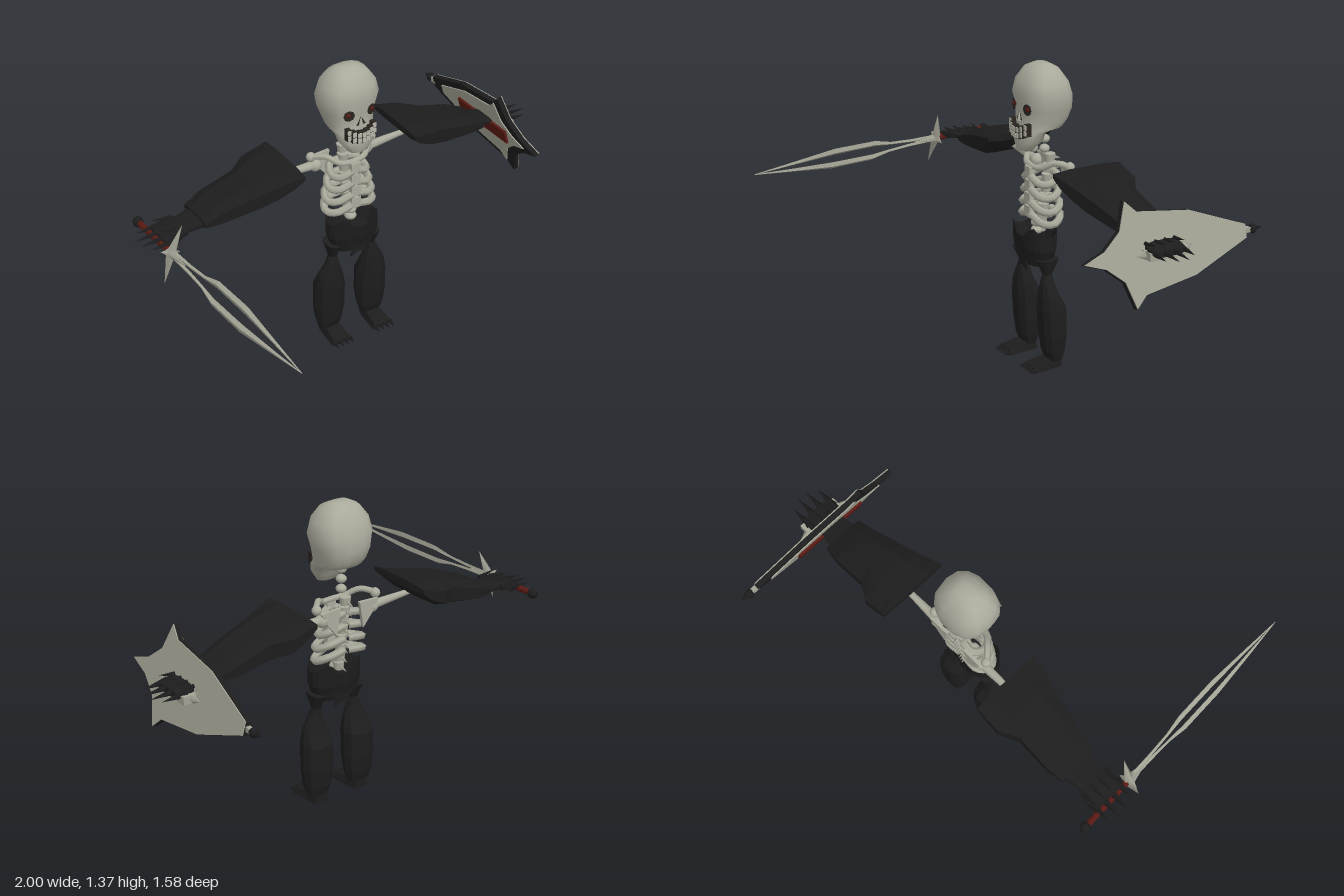
import * as THREE from 'three';

const mat = (name, color) => Object.assign(new THREE.MeshStandardMaterial({ color }), { name });
const V = (x, y, z) => new THREE.Vector3(x, y, z);

// Superellipse ring of n points; p < 1 squares the corners
function ring(n, p, place) {
  const pts = [];
  const sq = v => Math.sign(v) * Math.pow(Math.abs(v), p);
  for (let i = 0; i < n; i++) {
    const a = ((i + 0.5) / n) * Math.PI * 2;
    pts.push(place(sq(Math.sin(a)), sq(Math.cos(a))));
  }
  return pts;
}

// Closed skin over rings of equal count, always facing outwards
function loft(rings, smooth = false) {
  const n = rings[0].length, pts = rings.flat(), idx = [];
  for (let r = 0; r < rings.length - 1; r++)
    for (let i = 0; i < n; i++) {
      const a = r * n + i, b = r * n + (i + 1) % n;
      idx.push(a, b, a + n, b, b + n, a + n);
    }
  for (const r of [0, rings.length - 1]) {
    const c = pts.length;
    pts.push(rings[r].reduce((s, v) => s.add(v), V(0, 0, 0)).divideScalar(n));
    for (let i = 0; i < n; i++) {
      const a = r * n + i, b = r * n + (i + 1) % n;
      r === 0 ? idx.push(c, b, a) : idx.push(c, a, b);
    }
  }
  let volume = 0;
  for (let i = 0; i < idx.length; i += 3)
    volume += pts[idx[i]].dot(pts[idx[i + 1]].clone().cross(pts[idx[i + 2]]));
  if (volume < 0) idx.reverse();
  let g = new THREE.BufferGeometry().setFromPoints(pts);
  g.setIndex(idx);
  if (!smooth) g = g.toNonIndexed();
  g.computeVertexNormals();
  return g;
}

export function createModel() {
  const model = new THREE.Group();
  model.name = 'skeletonWarrior';
  const bone = mat('bone', 0xaaaa9c), steel = mat('steel', 0xa2a294), black = mat('blackCloth', 0x1d1d1d);
  const red = mat('redLeather', 0x5a1a14), dark = mat('darkSocket', 0x2a2420), tooth = mat('tooth', 0xb6b6a8);

  const add = (name, geo, m, pos = [0, 0, 0], parent = model) => {
    const o = new THREE.Mesh(geo, m);
    o.name = name;
    o.position.set(...pos);
    parent.add(o);
    return o;
  };
  const box = (...s) => new THREE.BoxGeometry(...s);
  const ball = (r, w = 10, h = 8) => new THREE.SphereGeometry(r, w, h);
  const tube = (pts, r, sides) => new THREE.TubeGeometry(new THREE.CatmullRomCurve3(pts), 12, r, sides, false);
  // Cone with its tip along the given direction
  const spike = (name, m, pos, dir, len, r, parent, sides = 4) => {
    const o = add(name, new THREE.ConeGeometry(r, len, sides).translate(0, len / 2, 0), m, pos, parent);
    o.quaternion.setFromUnitVectors(V(0, 1, 0), V(...dir).normalize());
    return o;
  };

  // Skull: y, half width, front z, back z
  const skull = [
    [1.37, 0.045, -0.19, -0.25], [1.35, 0.085, -0.15, -0.285], [1.3, 0.122, -0.117, -0.32],
    [1.24, 0.136, -0.105, -0.338], [1.18, 0.122, -0.118, -0.34], [1.13, 0.106, -0.113, -0.325],
    [1.1, 0.1, -0.11, -0.3], [1.09, 0.094, -0.11, -0.215], [1.05, 0.084, -0.102, -0.205], [1.0, 0.045, -0.105, -0.16]];
  add('skull', loft(skull.map(([y, rx, f, b]) =>
    ring(14, 0.8, (s, c) => V(rx * s, y, (f + b) / 2 + c * (f - b) / 2))), true), bone);
  for (const s of [-1, 1]) {
    const socket = add('eyeSocket', new THREE.CircleGeometry(0.026, 8), dark, [s * 0.056, 1.19, -0.114]);
    socket.rotation.y = s * 0.25;
    add('eye', ball(0.011, 8, 6), red, [s * 0.058, 1.192, -0.118]);
  }
  const nostril = add('noseHole', new THREE.CircleGeometry(0.028, 3), dark, [0, 1.148, -0.109]);
  nostril.rotation.z = Math.PI / 2;
  spike('noseBone', bone, [0, 1.13, -0.112], [0, 1, 0.1], 0.045, 0.015);
  // Grin of two tooth rows
  for (let i = -3; i <= 3; i++) {
    const x = i * 0.021, lift = 0.0022 * i * i, z = -0.094 - 0.0018 * i * i;
    add('gum', box(0.021, 0.054, 0.024), dark, [x, 1.082 + lift, z - 0.004]);
    for (const k of [-1, 1]) add('tooth', box(0.017, 0.021, 0.024), tooth, [x, 1.082 + lift + k * 0.013, z]);
  }

  // Neck and spine
  for (const y of [1.075, 1.03, 0.985]) add('neckVertebra', ball(0.024).scale(1, 0.8, 1), bone, [0, y, -0.235]);
  for (let i = 0; i < 8; i++) {
    const y = 0.94 - i * 0.045;
    add('vertebra', new THREE.CylinderGeometry(0.026, 0.022, 0.036, 8), bone, [0, y, -0.262 + i * 0.006]);
    spike('vertebraFin', bone, [0, y, -0.275 + i * 0.006], [0, -0.3, -1], 0.045, 0.013);
  }
  for (const y of [0.65, 0.615]) add('lowerVertebra', ball(0.028).scale(1, 0.7, 1), bone, [0, y, -0.2]);
  for (let i = 0; i < 4; i++) add('breastbone', box(0.046, 0.052, 0.024), bone, [0, 0.89 - i * 0.06, -0.16]);

  for (const s of [-1, 1]) {
    // Ribs from the spine round to the breastbone
    [[0.86, 0.085], [0.8, 0.1], [0.74, 0.115], [0.685, 0.12]].forEach(([y, w]) =>
      add('rib', tube([V(s * 0.01, y + 0.025, -0.265), V(s * w * 0.75, y + 0.015, -0.265), V(s * w, y - 0.01, -0.215),
        V(s * w * 0.75, y - 0.01, -0.175), V(s * 0.01, y + 0.015, -0.16)], 0.018, 5), bone));
    // Collar, shoulder and upper arm
    add('collarBone', tube([V(0, 0.915, -0.17), V(s * 0.06, 0.92, -0.18), V(s * 0.11, 0.95, -0.22),
      V(s * 0.16, 0.94, -0.27)], 0.014, 6), bone);
    add('collarKnob', ball(0.022), bone, [s * 0.155, 0.938, -0.27]);
    add('shoulderJoint', ball(0.03), bone, [s * 0.132, 0.887, -0.275]);
    add('shoulderBlade', loft([-0.285, -0.3].map(z =>
      [V(s * 0.05, 0.93, z), V(s * 0.15, 0.925, z), V(s * 0.12, 0.87, z), V(s * 0.07, 0.81, z)])), bone);
    const arm = add('upperArmBone', new THREE.CylinderGeometry(0.011, 0.022, 0.24, 8), bone, [s * 0.24, 0.893, -0.275]);
    arm.rotation.z = -s * 1.53;

    // Sleeve: x, top, bottom, front z, back z
    const crossX = ([x, t, b, f, k]) => ring(8, 0.7, (u, v) =>
      V(s * x, (t + b) / 2 + u * (t - b) / 2, (f + k) / 2 + v * (f - k) / 2));
    add('sleeve', loft([[0.28, 0.98, 0.945, -0.1, -0.45], [0.32, 0.978, 0.9, -0.11, -0.45], [0.4, 0.968, 0.85, -0.13, -0.45],
      [0.48, 0.95, 0.823, -0.15, -0.4], [0.64, 0.897, 0.802, -0.18, -0.4], [0.72, 0.85, 0.815, -0.19, -0.385]].map(crossX)), black);
    // Gauntlet with a row of claws
    add('gauntlet', loft([[0.7, 0.845, 0.808, -0.21, -0.37], [0.78, 0.832, 0.803, -0.225, -0.35],
      [0.84, 0.828, 0.79, -0.2, -0.37], [0.9, 0.815, 0.785, -0.21, -0.365]].map(crossX)), black);
    for (let i = 0; i < 4; i++) {
      const z = -0.215 - i * 0.046;
      spike('claw', black, [s * 0.86, 0.805, z], [s, -0.05, 0], i % 3 ? 0.14 : 0.11, 0.02);
      spike('sideClaw', black, [s * 0.8, 0.82, z], [s, 0.2, 0], 0.1, 0.014);
    }

    // Trouser leg: y, centre x, half width, front z, back z
    add('trouserLeg', loft([[0.51, 0.1, 0.035, -0.14, -0.25], [0.44, 0.1, 0.02, -0.175, -0.215],
      [0.4, 0.105, 0.032, -0.163, -0.22], [0.34, 0.11, 0.058, -0.155, -0.242], [0.28, 0.11, 0.07, -0.15, -0.275],
      [0.16, 0.111, 0.073, -0.16, -0.275], [0.08, 0.112, 0.064, -0.172, -0.266], [0.035, 0.112, 0.052, -0.19, -0.25]]
      .map(([y, x, rx, f, b]) => ring(10, 0.8, (u, v) => V(s * x + u * rx, y, (f + b) / 2 + v * (f - b) / 2)))), black);
    // Foot and toes
    add('foot', loft([[-0.25, 0.035, 0.045], [-0.17, 0.045, 0.04], [-0.105, 0.052, 0.022]].map(([z, w, h]) =>
      [V(s * 0.11 - w, 0, z), V(s * 0.11 + w, 0, z), V(s * 0.11 + w * 0.8, h, z), V(s * 0.11 - w * 0.8, h, z)])), black);
    for (let i = 0; i < 4; i++)
      spike('toe', black, [s * 0.11 + (i - 1.5) * 0.027, 0.011, -0.11], [0, -0.05, 1], 0.045, 0.014);
  }

  // Hip armour with a peaked, hollow rim
  const rim = x => 0.58 + 0.08 * Math.min(1, Math.abs(x) / 0.075) - Math.max(0, Math.abs(x) - 0.09) * 1.5;
  add('hipArmour', loft([[0.475, 0.1, 0.058], [0.55, 0.125, 0.075], [0, 0.122, 0.08], [0.55, 0.09, 0.055]].map(([y, rx, rz]) =>
    ring(20, 0.85, (u, v) => V(u * rx, y || rim(u * rx), -0.19 + v * rz)))), black);
  for (const z of [-0.132, -0.248])
    add('loincloth', loft([z - 0.004, z + 0.004].map(q => [V(-0.07, 0.52, q), V(0.07, 0.52, q), V(0.03, 0.485, q),
      V(0.045, 0.445, q), V(0, 0.465, q), V(-0.045, 0.445, q), V(-0.03, 0.485, q)])), black);

  // Shield: half outline as z, height above the centre line, leaning inwards at the top
  const half = [[-0.02, 0.035], [-0.1, 0.1], [-0.14, 0.212], [-0.19, 0.165], [-0.44, 0.13], [-0.71, 0.028]];
  const outline = [[0.08, 0], ...half, ...half.map(([z, h]) => [z, -h]).reverse()];
  const plate = (k, off) => outline.map(([z, h]) =>
    V(0.817 - h * k * 0.28 + off, 0.787 + h * k + off * 0.28, -0.33 + (z + 0.33) * k));
  const shield = new THREE.Group();
  shield.name = 'shield';
  model.add(shield);
  add('shieldRim', loft([plate(1, -0.012), plate(1, 0.01)]), black, [0, 0, 0], shield);
  add('shieldFace', loft([plate(0.99, 0.009), plate(0.99, 0.015)]), steel, [0, 0, 0], shield);
  add('shieldLining', loft([plate(0.8, -0.017), plate(0.8, -0.011)]), steel, [0, 0, 0], shield);
  const strap = add('shieldStrap', box(0.014, 0.07, 0.36), red, [0.795, 0.785, -0.3], shield);
  strap.rotation.z = 0.27;
  add('shieldBoss', box(0.06, 0.034, 0.19), steel, [0.86, 0.79, -0.29], shield);
  for (const d of [-1, 1]) spike('bossEnd', steel, [0.845, 0.79, -0.29 + d * 0.09], [0, 0, d], 0.05, 0.022, shield);
  add('finialNeck', box(0.02, 0.022, 0.04), steel, [0.815, 0.787, -0.72], shield);
  add('finialBall', ball(0.021, 8, 6), black, [0.815, 0.787, -0.75], shield);
  spike('finialTip', black, [0.815, 0.787, -0.755], [0, 0, -1], 0.045, 0.016, shield);

  // Sword: the blade runs along local z and its width along local y
  const sword = new THREE.Group();
  sword.name = 'sword';
  sword.position.set(-0.89, 0.787, 0);
  sword.rotation.set(0.01, 0.056, -0.38, 'YXZ');
  model.add(sword);
  for (const s of [-1, 1]) {
    const prong = [[-0.18, 0, 0.02], [-0.03, 0.004, 0.022], [0.08, 0.014, 0.03], [0.17, 0.024, 0.056],
      [0.38, 0.022, 0.058], [0.6, 0.01, 0.027], [0.78, -0.002, 0.002]];
    add('bladeProng', loft(prong.map(([z, a, b]) => {
      const t = Math.min(0.011, (b - a) * 0.4), m = (a + b) / 2;
      return [V(0, s * a, z), V(t, s * m, z), V(0, s * b, z), V(-t, s * m, z)];
    })), steel, [0, 0, 0], sword);
    spike('guardPoint', steel, [0, 0, -0.17], [0, s, 0.12], 0.14, 0.026, sword);
    spike('guardSide', steel, [0, 0, -0.17], [s, 0, -0.1], 0.05, 0.022, sword);
  }
  spike('guardFront', steel, [0, 0, -0.18], [0, 0, 1], 0.13, 0.03, sword);
  add('grip', new THREE.CylinderGeometry(0.014, 0.014, 0.25, 8).rotateX(Math.PI / 2), red, [0, 0, -0.305], sword);
  add('pommel', ball(0.024, 8, 6), black, [0, 0, -0.44], sword);
  spike('pommelTip', black, [0, 0, -0.44], [0, 0, -1], 0.035, 0.018, sword);

  return model;
}
